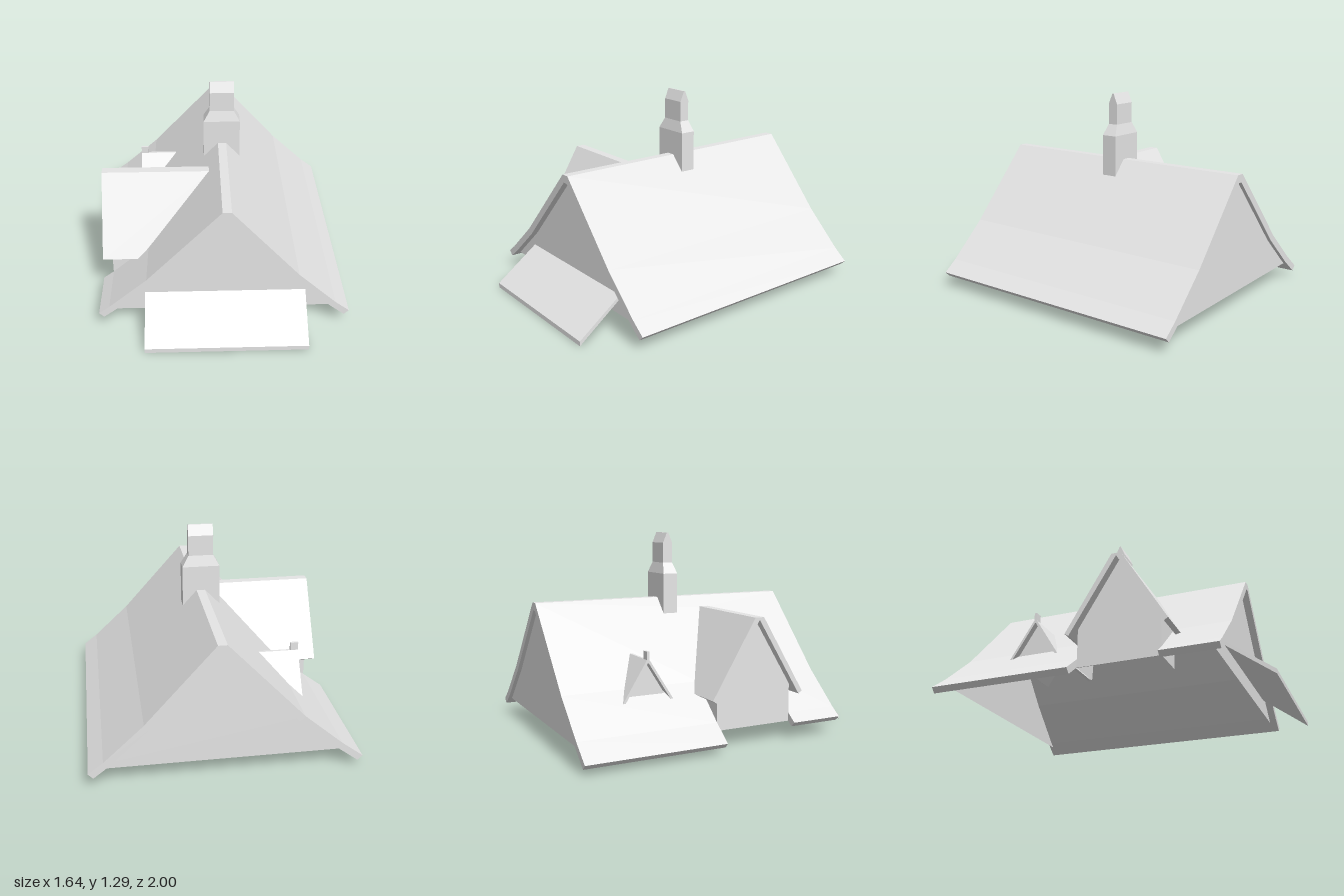
import * as THREE from 'three';

const grey = new THREE.MeshStandardMaterial({ color: 0xe6e6e6, side: THREE.DoubleSide });
grey.name = 'light grey';

// outer line of the main roof, [x, y] from the right-hand eave to the left-hand one
const ROOF = [[-0.82, 0.065], [-0.69, 0.163], [-0.45, 0.37], [0.015, 0.86],
  [0.07, 0.86], [0.49, 0.39], [0.73, 0.165], [0.82, 0.095]];

function lerpTable(value, from, to, table) {
  for (let i = 0; i < table.length - 1; i++) {
    const a = table[i], b = table[i + 1];
    if (value <= b[from] || i === table.length - 2) {
      return a[to] + (b[to] - a[to]) * (value - a[from]) / (b[from] - a[from]);
    }
  }
}
const roofY = (x) => lerpTable(x, 0, 1, ROOF);
const roofX = (y) => lerpTable(y, 1, 0, ROOF.slice(0, 4));

const shapeOf = (pts) => new THREE.Shape(pts.map(([u, v]) => new THREE.Vector2(u, v)));

function add(group, name, geometry) {
  geometry.computeVertexNormals();
  const mesh = new THREE.Mesh(geometry, grey);
  mesh.name = name;
  group.add(mesh);
  return mesh;
}

// move every vertex by a rule
function reshape(geometry, rule) {
  const p = geometry.attributes.position;
  for (let i = 0; i < p.count; i++) p.setXYZ(i, ...rule(p.getX(i), p.getY(i), p.getZ(i)));
  return geometry;
}

// roof slab from a plan outline of [x, z] points, draped on the roof line
function slab(group, name, plan, shiftX, drop) {
  const g = new THREE.ExtrudeGeometry(shapeOf(plan.map(([x, z]) => [x, -z])), { depth: 1, bevelEnabled: false });
  reshape(g, (x, v, d) => (d > 0.5 ? [x, roofY(x), -v] : [x + shiftX, roofY(x) - drop, -v]));
  add(group, name, g);
}
const rect = (x0, x1, z0, z1) => [[x0, z0], [x1, z0], [x1, z1], [x0, z1]];

// solid with a [z, y] section running along x
function alongX(section, x0, x1) {
  const g = new THREE.ExtrudeGeometry(shapeOf(section.map(([z, y]) => [-z, y])), { depth: x1 - x0, bevelEnabled: false });
  return g.rotateY(Math.PI / 2).translate(x0, 0, 0);
}

// gabled dormer roof; innerX gives where it ends inside the main roof at each height
function dormerRoof(group, name, { zc, x0, top, eave, ridge, half, thick, innerX }) {
  const len = Math.hypot(half - ridge, top - eave);
  const dz = thick * (top - eave) / len, dy = thick * (half - ridge) / len;
  const inner = top - dy - Math.max(0, dz - ridge) * 1.5;
  const section = [[-half, eave], [-ridge, top], [ridge, top], [half, eave],
    [half - dz, eave - dy], [0, inner], [-half + dz, eave - dy]];
  const g = alongX(section.map(([z, y]) => [z + zc, y]), 0, 1);
  reshape(g, (x, y, z) => [x > 0.5 ? innerX(y) : x0, y, z]);
  add(group, name, g);
}

export function createModel() {
  const model = new THREE.Group();
  model.name = 'houseRoof';

  // main roof, with an opening and an eave gap for the large dormer
  const roof = new THREE.Group();
  roof.name = 'mainRoof';
  model.add(roof);
  const Z0 = -1, Z1 = 0.76, G0 = -0.11, G1 = 0.41, T = 0.03;
  slab(roof, 'ridge', rect(0.015, 0.07, Z0, Z1), 0, 0.05);
  slab(roof, 'dormerSlope', [[0.015, Z0], [0.015, Z1], [-0.45, Z1], [-0.45, G1],
    [-0.06, 0.15], [-0.45, G0], [-0.45, Z0]], T, T);
  slab(roof, 'backLowerSlope', rect(-0.69, -0.45, Z0, G0), T, T);
  slab(roof, 'backEave', rect(-0.82, -0.69, Z0, G0), T, T);
  slab(roof, 'frontLowerSlope', rect(-0.69, -0.45, G1, Z1), T, T);
  slab(roof, 'frontEave', rect(-0.757, -0.69, G1, Z1), T, T);
  for (let i = 4; i < 7; i++) {
    slab(roof, 'plainSlope', rect(ROOF[i][0], ROOF[i + 1][0], Z0, Z1), -T, T);
  }

  // gable walls
  const gable = [[-0.69, 0.11], [0.74, 0.11], [0.71, 0.145], [0.47, 0.37],
    [0.06, 0.825], [0.025, 0.825], [-0.43, 0.35], [-0.665, 0.145]];
  for (const [name, z] of [['frontGable', 0.715], ['backGable', -0.975]]) {
    add(model, name, new THREE.ShapeGeometry(shapeOf(gable))).position.z = z;
  }

  // large dormer
  const large = new THREE.Group();
  large.name = 'largeDormer';
  model.add(large);
  dormerRoof(large, 'largeDormerRoof', {
    zc: 0.15, x0: -0.745, top: 0.79, eave: 0.31, ridge: 0.03, half: 0.32, thick: 0.03,
    innerX: (y) => roofX(y) + 0.01,
  });
  const front = [[G0, 0.11], [G1, 0.11], [G1, 0.375], [0.15, 0.775], [G0, 0.375]];
  add(large, 'largeDormerFront', alongX(front, -0.69, -0.685));
  const cheek = [[-0.69, 0.11], [-0.47, 0.11], [-0.44, 0.375], [-0.69, 0.375]];
  for (const z of [G0, G1]) {
    add(large, 'largeDormerCheek', new THREE.ShapeGeometry(shapeOf(cheek))).position.z = z;
  }

  // small dormer with a finial, its roof running on under the main slope
  const small = new THREE.Group();
  small.name = 'smallDormer';
  model.add(small);
  dormerRoof(small, 'smallDormerRoof', {
    zc: -0.488, x0: -0.53, top: 0.55, eave: 0.3, ridge: 0.008, half: 0.165, thick: 0.015,
    innerX: () => -0.03,
  });
  add(small, 'smallDormerFront', alongX([[-0.61, 0.33], [-0.366, 0.33], [-0.488, 0.525]], -0.495, -0.49));
  add(small, 'finial', new THREE.BoxGeometry(0.05, 0.07, 0.016).translate(-0.505, 0.565, -0.488));

  // chimney from stacked tapering blocks: [y, width, depth]
  const chimney = new THREE.Group();
  chimney.name = 'chimney';
  chimney.position.set(0.04, 0, -0.115);
  model.add(chimney);
  const levels = [[0.7, 0.24, 0.1], [1.02, 0.24, 0.1], [1.09, 0.16, 0.066], [1.22, 0.16, 0.066], [1.287, 0.16, 0.01]];
  for (let i = 0; i < levels.length - 1; i++) {
    const g = new THREE.BoxGeometry(1, 1, 1);
    reshape(g, (x, y, z) => {
      const [h, w, d] = levels[y > 0 ? i + 1 : i];
      return [x * w, h, z * d];
    });
    add(chimney, 'chimneyBlock', g);
  }

  // sloping porch roof
  add(model, 'porchRoof', alongX([[1, 0], [1, 0.03], [0.71, 0.242], [0.702, 0.224]], -0.465, 0.54));

  return model;
}
